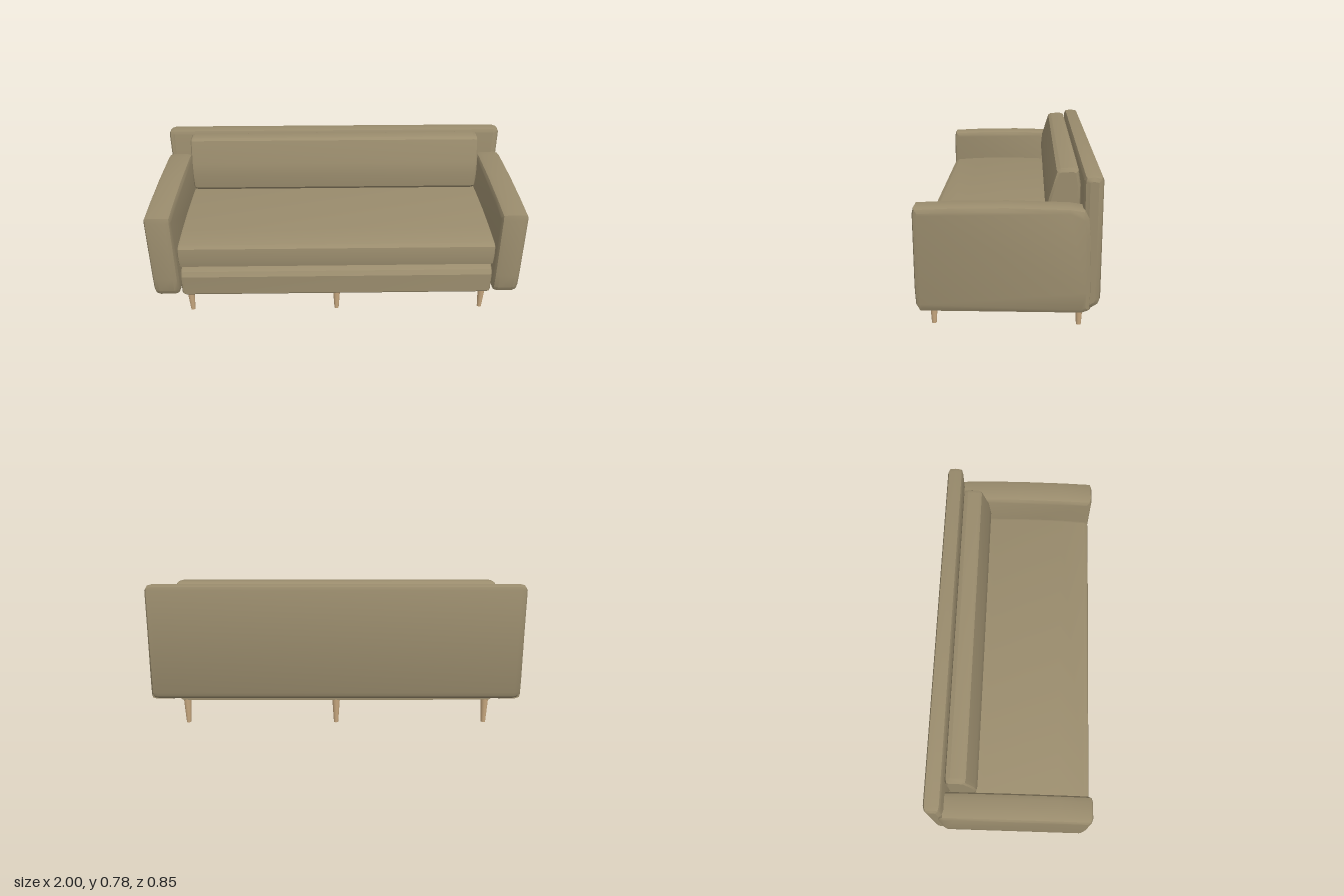
import * as THREE from 'three';
import { toCreasedNormals } from 'three/addons/utils/BufferGeometryUtils.js';

// Upholstered block: a [z, y] side profile swept along x from x0 to x1 with softened ends.
function pad(name, profile, x0, x1, bevelX, bevel, material) {
  const shape = new THREE.Shape(profile.map(([z, y]) => new THREE.Vector2(-z, y)));
  const geometry = new THREE.ExtrudeGeometry(shape, {
    depth: x1 - x0 - 2 * bevelX,
    bevelThickness: bevelX,
    bevelSize: bevel,
    bevelOffset: -bevel,
    bevelSegments: 2,
  });
  geometry.rotateY(Math.PI / 2);
  geometry.translate(x0 + bevelX, 0, 0);
  const mesh = new THREE.Mesh(toCreasedNormals(geometry, 0.5), material);
  mesh.name = name;
  return mesh;
}

export function createModel() {
  const fabric = new THREE.MeshStandardMaterial({ color: 0x9a8c6d });
  fabric.name = 'khaki fabric';
  const wood = new THREE.MeshStandardMaterial({ color: 0xc8a87f });
  wood.name = 'light wood';

  const sofa = new THREE.Group();
  sofa.name = 'sofa';

  // Padded base with a sloped front lip
  sofa.add(pad('base', [
    [0.405, 0.135], [0.42, 0.15], [0.42, 0.26], [0.405, 0.285], [0.36, 0.303],
    [-0.34, 0.303], [-0.36, 0.28], [-0.36, 0.135],
  ], -0.845, 0.845, 0.02, 0.015, fabric));

  // Seat cushion, slightly crowned
  sofa.add(pad('seatCushion', [
    [0.39, 0.31], [0.412, 0.325], [0.42, 0.38], [0.412, 0.435], [0.39, 0.447],
    [0.25, 0.457], [0.05, 0.462], [-0.15, 0.457], [-0.32, 0.447],
    [-0.335, 0.43], [-0.335, 0.325], [-0.32, 0.31],
  ], -0.845, 0.845, 0.015, 0.012, fabric));

  // Leaning back cushion
  sofa.add(pad('backCushion', [
    [-0.2, 0.46], [-0.182, 0.48], [-0.175, 0.56], [-0.183, 0.635], [-0.222, 0.765],
    [-0.24, 0.775], [-0.3, 0.778], [-0.322, 0.768], [-0.333, 0.7],
    [-0.333, 0.5], [-0.315, 0.46],
  ], -0.84, 0.84, 0.025, 0.015, fabric));

  // Outer back panel
  sofa.add(pad('backPanel', [
    [-0.338, 0.15], [-0.385, 0.155], [-0.415, 0.175], [-0.425, 0.2],
    [-0.425, 0.755], [-0.418, 0.772], [-0.38, 0.78], [-0.345, 0.773], [-0.337, 0.755],
  ], -0.985, 0.985, 0.035, 0.025, fabric));

  // Arms, mirrored
  const armProfile = [
    [0.4, 0.137], [0.418, 0.17], [0.422, 0.25], [0.422, 0.6], [0.415, 0.63],
    [0.25, 0.638], [0.0, 0.642], [-0.28, 0.635], [-0.345, 0.625], [-0.368, 0.59],
    [-0.378, 0.5], [-0.382, 0.24], [-0.378, 0.15], [-0.34, 0.135],
  ];
  sofa.add(pad('leftArm', armProfile, 0.857, 0.998, 0.03, 0.024, fabric));
  sofa.add(pad('rightArm', armProfile, -0.998, -0.857, 0.03, 0.024, fabric));

  // Six tapered legs
  const legGeometry = new THREE.CylinderGeometry(0.021, 0.012, 0.14, 12);
  for (const z of [0.36, -0.34]) {
    for (const x of [-0.81, 0, 0.81]) {
      const leg = new THREE.Mesh(legGeometry, wood);
      leg.name = z > 0 ? 'frontLeg' : 'backLeg';
      leg.position.set(x, 0.07, z);
      sofa.add(leg);
    }
  }
  return sofa;
}
